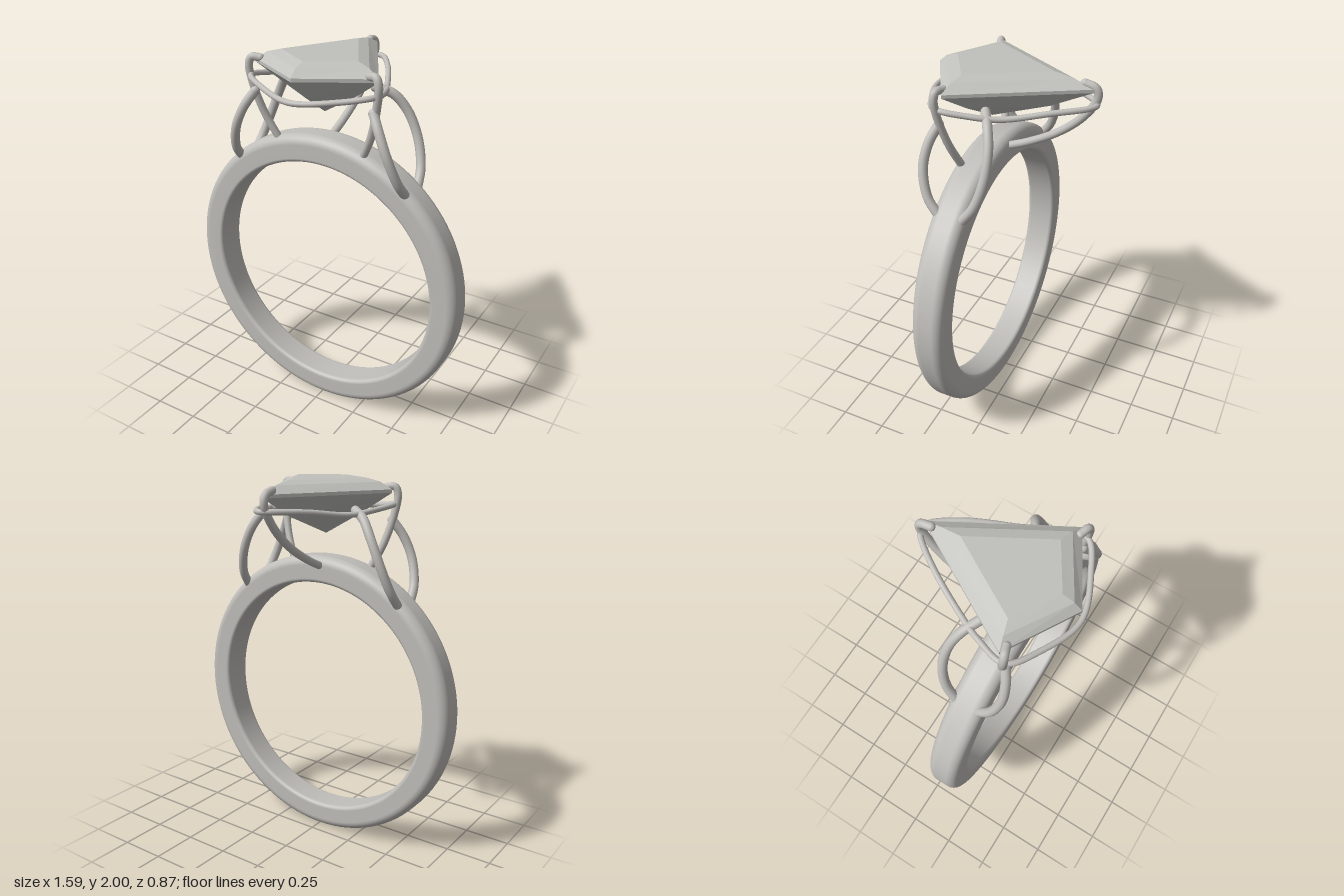
import * as THREE from 'three';

const metal = new THREE.MeshStandardMaterial({ color: 0xc0beba });
metal.name = 'ringMetal';
const gem = new THREE.MeshStandardMaterial({ color: 0xc0c0bc });
gem.name = 'gemGrey';

const vec = (p) => new THREE.Vector3(...p);

// Round wire through points, with ball ends when open
function wire(name, points, radius, closed = false) {
  const group = new THREE.Group();
  group.name = name;
  const curve = new THREE.CatmullRomCurve3(points.map(vec), closed);
  group.add(new THREE.Mesh(new THREE.TubeGeometry(curve, closed ? 160 : 48, radius, 12, closed), metal));
  if (!closed) {
    for (const p of [points[0], points[points.length - 1]]) {
      const ball = new THREE.Mesh(new THREE.SphereGeometry(radius, 14, 10), metal);
      ball.position.set(...p);
      group.add(ball);
    }
  }
  group.children.forEach((m) => { m.name = name; });
  return group;
}

// Band: rounded section revolved, slightly wider towards the top
function makeBand() {
  const inner = 0.654, outer = 0.797, half = 0.084, ro = 0.05, ri = 0.022;
  const section = new THREE.Path();
  section.moveTo(inner, 0);
  section.lineTo(inner, -half + ri);
  section.absarc(inner + ri, -half + ri, ri, Math.PI, Math.PI * 1.5);
  section.absarc(outer - ro, -half + ro, ro, -Math.PI / 2, 0);
  section.absarc(outer - ro, half - ro, ro, 0, Math.PI / 2);
  section.absarc(inner + ri, half - ri, ri, Math.PI / 2, Math.PI);
  section.lineTo(inner, 0);
  const geo = new THREE.LatheGeometry(section.getPoints(8), 128);
  geo.rotateX(Math.PI / 2);
  const pos = geo.attributes.position;
  for (let i = 0; i < pos.count; i++) {
    pos.setZ(i, pos.getZ(i) * (1 + 0.1 * pos.getY(i)));
  }
  geo.translate(0, 0.797, 0.125);
  const band = new THREE.Mesh(geo, metal);
  band.name = 'band';
  return band;
}

// Kite-cut stone: rings of four corners from table down to the point
function makeStone() {
  // [y, front z, side x, side z, back z]
  const rings = [
    [2.0, 0.31, 0.215, 0.175, -0.2],
    [1.982, 0.37, 0.285, 0.195, -0.3],
    [1.945, 0.412, 0.345, 0.213, -0.395],
    [1.928, 0.412, 0.345, 0.213, -0.395],
    [1.82, 0.29, 0.19, 0.165, -0.18],
    [1.708, 0.127, 0, 0.127, 0.127],
  ].map(([y, f, sx, sz, b]) => [[0, y, f], [sx, y, sz], [0, y, b], [-sx, y, sz]]);
  const v = [];
  const tri = (a, b, c) => v.push(...a, ...b, ...c);
  const top = rings[0];
  tri(top[0], top[1], top[2]);
  tri(top[0], top[2], top[3]);
  for (let r = 0; r < rings.length - 1; r++) {
    const up = rings[r], low = rings[r + 1];
    for (let i = 0; i < 4; i++) {
      const j = (i + 1) % 4;
      if (r < rings.length - 2) tri(low[i], low[j], up[j]);
      tri(low[i], up[j], up[i]);
    }
  }
  const geo = new THREE.BufferGeometry();
  geo.setAttribute('position', new THREE.Float32BufferAttribute(v, 3));
  geo.computeVertexNormals();
  const stone = new THREE.Mesh(geo, gem);
  stone.name = 'kiteStone';
  return stone;
}

export function createModel() {
  const model = new THREE.Group();
  model.name = 'ring';
  model.add(makeBand(), makeStone());

  // Gallery wire running round under the stone
  const side = [
    [0.21, 1.85, 0.345], [0.35, 1.87, 0.245], [0.315, 1.85, 0.09],
    [0.255, 1.835, -0.04], [0.145, 1.86, -0.25], [0.04, 1.867, -0.395],
  ];
  const mirrored = side.map(([x, y, z]) => [-x, y, z]).reverse();
  model.add(wire('galleryWire',
    [[0, 1.832, 0.418], ...side, [0, 1.867, -0.415], ...mirrored], 0.0145, true));

  for (const s of [1, -1]) {
    const label = s > 0 ? 'left' : 'right';
    const flip = (pts) => pts.map(([x, y, z]) => [s * x, y, z]);

    // Claw prongs at the side corners
    model.add(wire(label + 'Prong', flip([
      [0.25, 1.54, 0.175], [0.31, 1.67, 0.205], [0.35, 1.82, 0.235],
      [0.362, 1.92, 0.245], [0.347, 1.957, 0.24], [0.305, 1.955, 0.225],
    ]), 0.02));

    // Shoulder loops, front and back
    model.add(wire(label + 'FrontShoulderLoop', flip([
      [0.49, 1.385, 0.18], [0.475, 1.47, 0.245], [0.435, 1.6, 0.282],
      [0.385, 1.71, 0.272], [0.335, 1.79, 0.24],
    ]), 0.024));
    model.add(wire(label + 'BackShoulderLoop', flip([
      [0.49, 1.385, 0.06], [0.475, 1.47, 0], [0.435, 1.6, -0.037],
      [0.375, 1.73, -0.034], [0.31, 1.815, 0], [0.235, 1.848, 0.045],
    ]), 0.024));
  }

  // Back prong sweeping up to the long tip
  model.add(wire('backProng', [
    [-0.018, 1.54, 0.06], [-0.018, 1.59, -0.06], [-0.018, 1.68, -0.22],
    [-0.018, 1.79, -0.345], [-0.018, 1.9, -0.412], [-0.018, 1.945, -0.4],
    [-0.014, 1.963, -0.345],
  ], 0.021));

  return model;
}
